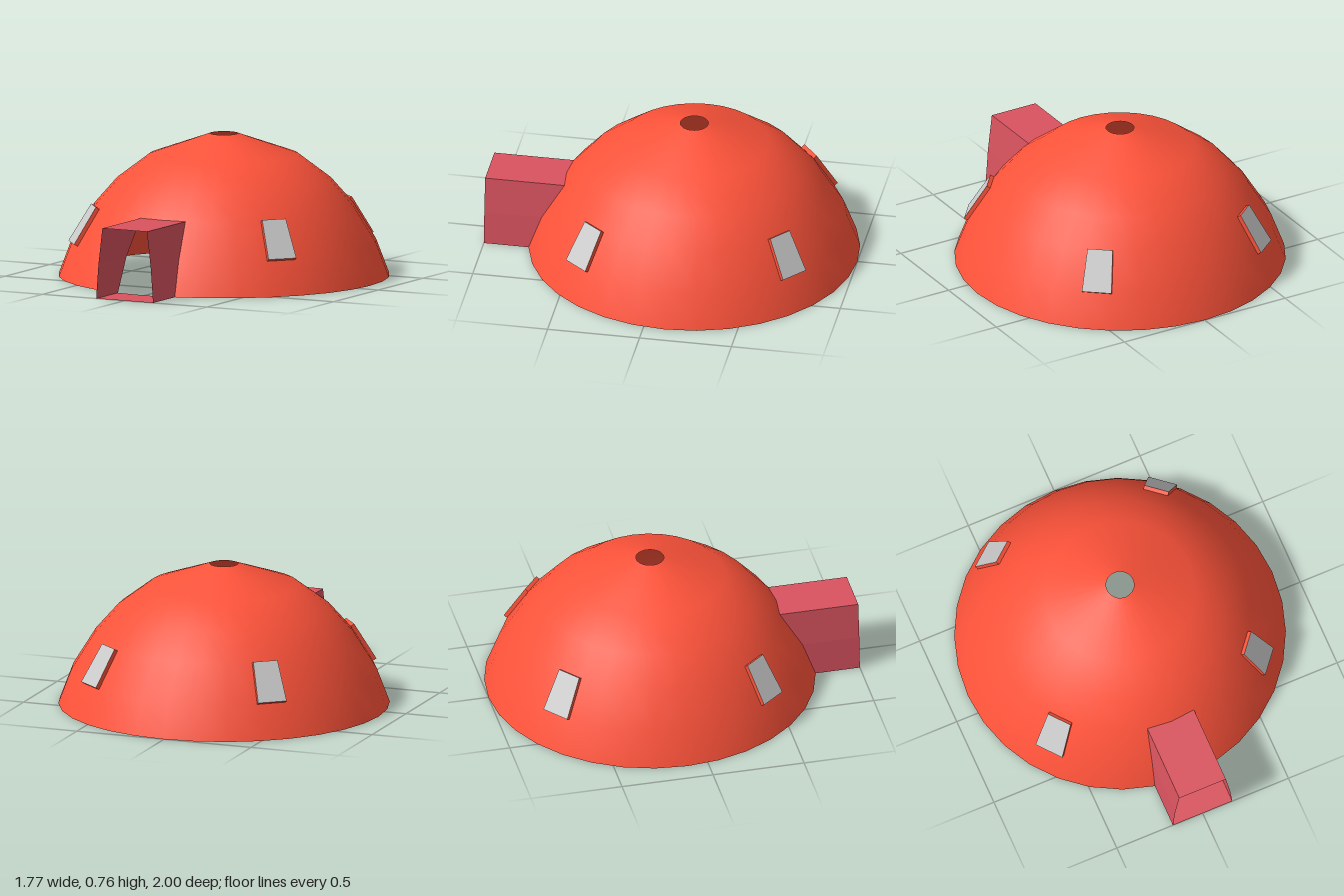
import * as THREE from 'three';

const SEGMENTS = 32;
const CENTER_Z = -0.113;
// dome profile from the rim up to the vent hole: radius, height
const PROFILE = [[0.887, 0], [0.817, 0.185], [0.695, 0.382], [0.574, 0.52], [0.402, 0.65], [0.075, 0.765]];

const paint = (color) => new THREE.MeshStandardMaterial({ color, side: THREE.DoubleSide });

// point on the dome grid: column 0 faces +z, row 0 is the rim
function domePoint(column, row) {
  const phi = (column / SEGMENTS) * Math.PI * 2;
  const [r, y] = PROFILE[row];
  return new THREE.Vector3(r * Math.sin(phi), y, r * Math.cos(phi) + CENTER_Z);
}

// flat faces from a list of quads, corners counter-clockwise from outside
function quadGeometry(quads) {
  const points = quads.flatMap(([a, b, c, d]) => [a, b, c, a, c, d]);
  const geometry = new THREE.BufferGeometry().setFromPoints(points);
  geometry.computeVertexNormals();
  return geometry;
}

// wall of quads joining two closed loops
function wallBetween(inner, outer) {
  return quadGeometry(inner.map((p, i) => {
    const j = (i + 1) % inner.length;
    return [p, inner[j], outer[j], outer[i]];
  }));
}

function addMesh(parent, name, geometry, material) {
  const mesh = new THREE.Mesh(geometry, material);
  mesh.name = name;
  parent.add(mesh);
  return mesh;
}

export function createModel() {
  const model = new THREE.Group();
  model.name = 'domeShelter';
  const red = paint(0xff533a);
  const rose = paint(0xd9535f);
  const grey = paint(0xcccccc);
  const windowColumns = [4, 12, 19, 27];

  // open dome shell, with the doorway and window faces left out
  const shell = new THREE.LatheGeometry(PROFILE.map(([r, y]) => new THREE.Vector2(r, y)), SEGMENTS);
  const rows = PROFILE.length - 1;
  const isOpening = (column, row) =>
    ((column === 0 || column === SEGMENTS - 1) && row < 2) ||
    (row === 1 && windowColumns.includes(column));
  shell.setIndex(Array.from(shell.index.array).filter((_, k) => {
    const face = Math.floor(k / 6);
    return !isOpening(Math.floor(face / rows), face % rows);
  }));
  addMesh(model, 'domeShell', shell, red).position.z = CENTER_Z;

  // entrance tunnel, drawn straight forward from the doorway edge
  const doorway = [[-1, 0], [0, 0], [1, 0], [1, 1], [1, 2], [0, 2], [-1, 2], [-1, 1]]
    .map(([column, row]) => domePoint(column, row));
  const mouth = doorway.map((p) => new THREE.Vector3(p.x, p.y, 1));
  addMesh(model, 'entranceTunnel', wallBetween(doorway, mouth), rose);

  // raised windows: red frame walls and a grey pane
  for (const column of windowColumns) {
    const edge = [[0, 1], [1, 1], [1, 2], [0, 2]].map(([c, row]) => domePoint(column + c, row));
    const normal = edge[1].clone().sub(edge[0]).cross(edge[3].clone().sub(edge[0])).normalize();
    const raised = edge.map((p) => p.clone().addScaledVector(normal, 0.022));
    const unit = new THREE.Group();
    unit.name = 'window';
    addMesh(unit, 'windowFrame', wallBetween(edge, raised), red);
    addMesh(unit, 'windowPane', quadGeometry([raised]), grey);
    model.add(unit);
  }
  return model;
}
